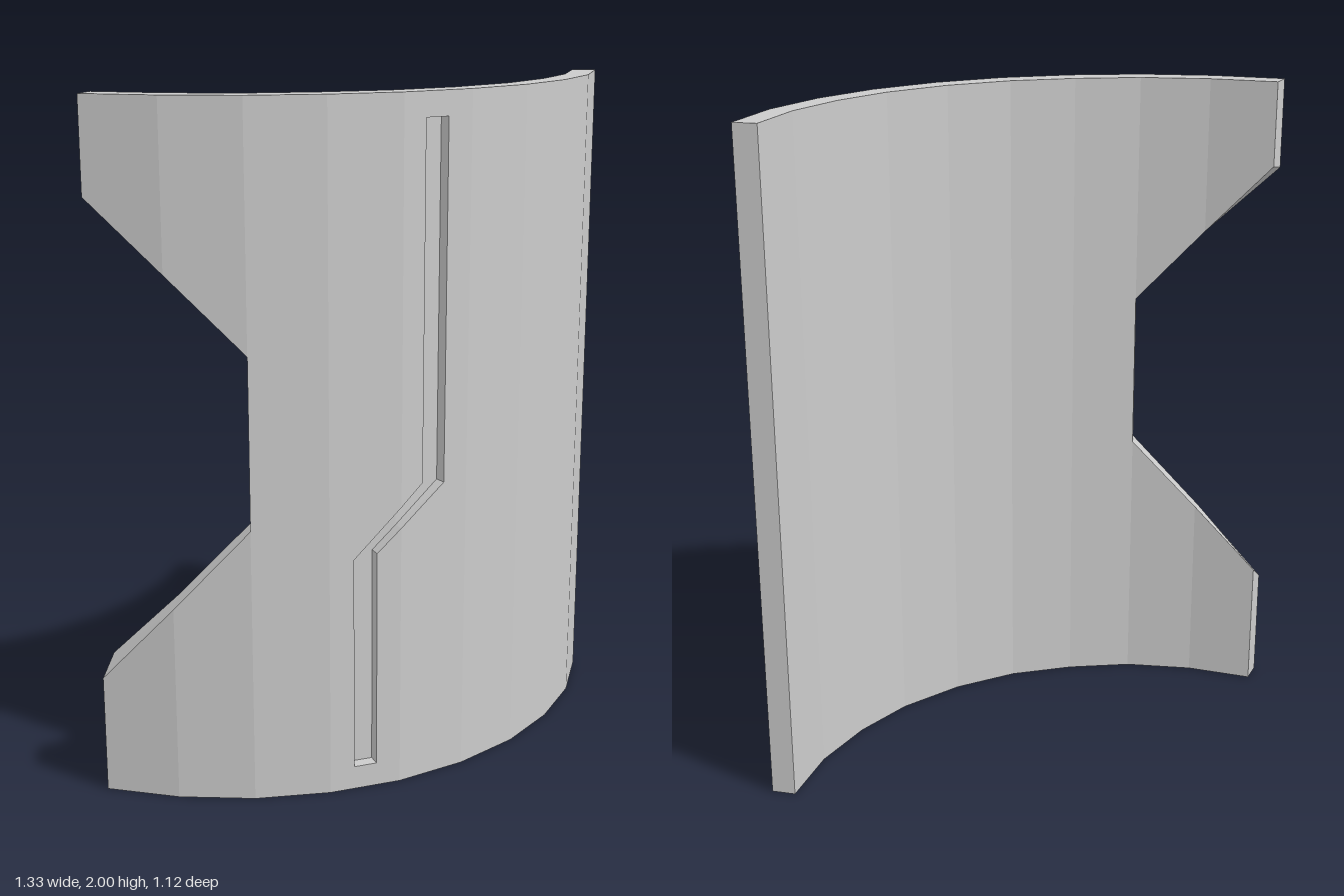
import * as THREE from 'three';

// Plan section of the curved panel as [x, z], outer and inner skins
const OUTER = [[-0.668, 0.535], [-0.45, 0.555], [-0.23, 0.535], [-0.02, 0.47], [0.17, 0.37],
  [0.34, 0.23], [0.48, 0.06], [0.58, -0.13], [0.645, -0.34], [0.665, -0.56]];
const INNER = [[-0.654, 0.464], [-0.45, 0.483], [-0.24, 0.463], [-0.05, 0.4], [0.13, 0.31],
  [0.29, 0.18], [0.425, 0.015], [0.515, -0.16], [0.575, -0.355], [0.594, -0.56]];
const LAST = OUTER.length - 1;
const GROOVE_DEPTH = 0.5; // fraction of the thickness

// Side notch as [facet position, outer y, inner y]
const NOTCH_LOW = [[0, 0.35, 0.4], [1, 0.58, 0.6], [2, 0.815, 0.82]];
const NOTCH_HIGH = [[0, 1.73, 1.745], [1, 1.53, 1.53], [2, 1.31, 1.305]];

// Stepped groove, split where it crosses the seam at facet position 4
const GROOVE_A = [[4, 0.849], [3.34, 0.71], [3.34, 0.07], [3.66, 0.07], [3.66, 0.72], [4, 0.787]];
const GROOVE_B = [[4, 0.787], [4.65, 0.9], [4.65, 1.93], [4.32, 1.93], [4.32, 0.91], [4, 0.849]];

// Maps [facet position u, outer y, inner y] at depth t (0 outer, 1 inner) to space
function place([u, y, yIn = y], t) {
  const i = Math.min(Math.floor(u), LAST - 1);
  const f = u - i;
  const at = (skin, k) => THREE.MathUtils.lerp(skin[i][k], skin[i + 1][k], f);
  const mix = (k) => THREE.MathUtils.lerp(at(OUTER, k), at(INNER, k), t);
  return [mix(0), THREE.MathUtils.lerp(y, yIn, t), mix(1)];
}

// Fills a counter-clockwise polygon at depth t
function face(out, poly, t, inward = false) {
  const flat = poly.map(([u, y]) => new THREE.Vector2(u, y));
  for (const [a, b, c] of THREE.ShapeUtils.triangulateShape(flat, [])) {
    for (const k of inward ? [a, c, b] : [a, b, c]) out.push(...place(poly[k], t));
  }
}

// Closes the edge of a loop between the outer skin and depth t
function walls(out, loop, t) {
  loop.forEach((a, i) => {
    const b = loop[(i + 1) % loop.length];
    const [a0, a1, b0, b1] = [place(a, 0), place(a, t), place(b, 0), place(b, t)];
    out.push(...a0, ...a1, ...b1, ...a0, ...b1, ...b0);
  });
}

function makeMesh(name, positions) {
  const geometry = new THREE.BufferGeometry();
  geometry.setAttribute('position', new THREE.Float32BufferAttribute(positions, 3));
  geometry.computeVertexNormals();
  const mesh = new THREE.Mesh(geometry,
    new THREE.MeshStandardMaterial({ color: 0xcccccc, flatShading: true }));
  mesh.name = name;
  return mesh;
}

export function createModel() {
  const group = new THREE.Group();
  group.name = 'curvedPanel';
  const outer = [], inner = [], rim = [], groove = [];

  // Skins, one facet at a time
  for (let i = 0; i < LAST; i++) {
    if (i < 2) {
      const low = [[i, 0], [i + 1, 0], NOTCH_LOW[i + 1], NOTCH_LOW[i]];
      const high = [NOTCH_HIGH[i], NOTCH_HIGH[i + 1], [i + 1, 2], [i, 2]];
      for (const poly of [low, high]) {
        face(outer, poly, 0);
        face(inner, poly, 1, true);
      }
      continue;
    }
    const full = [[i, 0], [i + 1, 0], [i + 1, 2], [i, 2]];
    let front = full;
    if (i === 3) front = [[3, 0], [4, 0], ...[...GROOVE_A].reverse(), [4, 2], [3, 2]];
    if (i === 4) front = [[4, 0], [5, 0], [5, 2], [4, 2], ...[...GROOVE_B].reverse()];
    face(outer, front, 0);
    face(inner, full, 1, true);
  }

  // Rim all round, including the notch
  const bottom = OUTER.map((_, i) => [i, 0]);
  const top = OUTER.map((_, i) => [LAST - i, 2]);
  walls(rim, [...bottom, ...top, ...NOTCH_HIGH, ...[...NOTCH_LOW].reverse()], 1);

  // Groove floor and side walls
  face(groove, GROOVE_A, GROOVE_DEPTH);
  face(groove, GROOVE_B, GROOVE_DEPTH);
  const loop = [...GROOVE_A, ...GROOVE_B.slice(1, -1)];
  walls(groove, loop.reverse(), GROOVE_DEPTH);

  group.add(makeMesh('outerSkin', outer), makeMesh('innerSkin', inner),
    makeMesh('rim', rim), makeMesh('groove', groove));
  return group;
}
